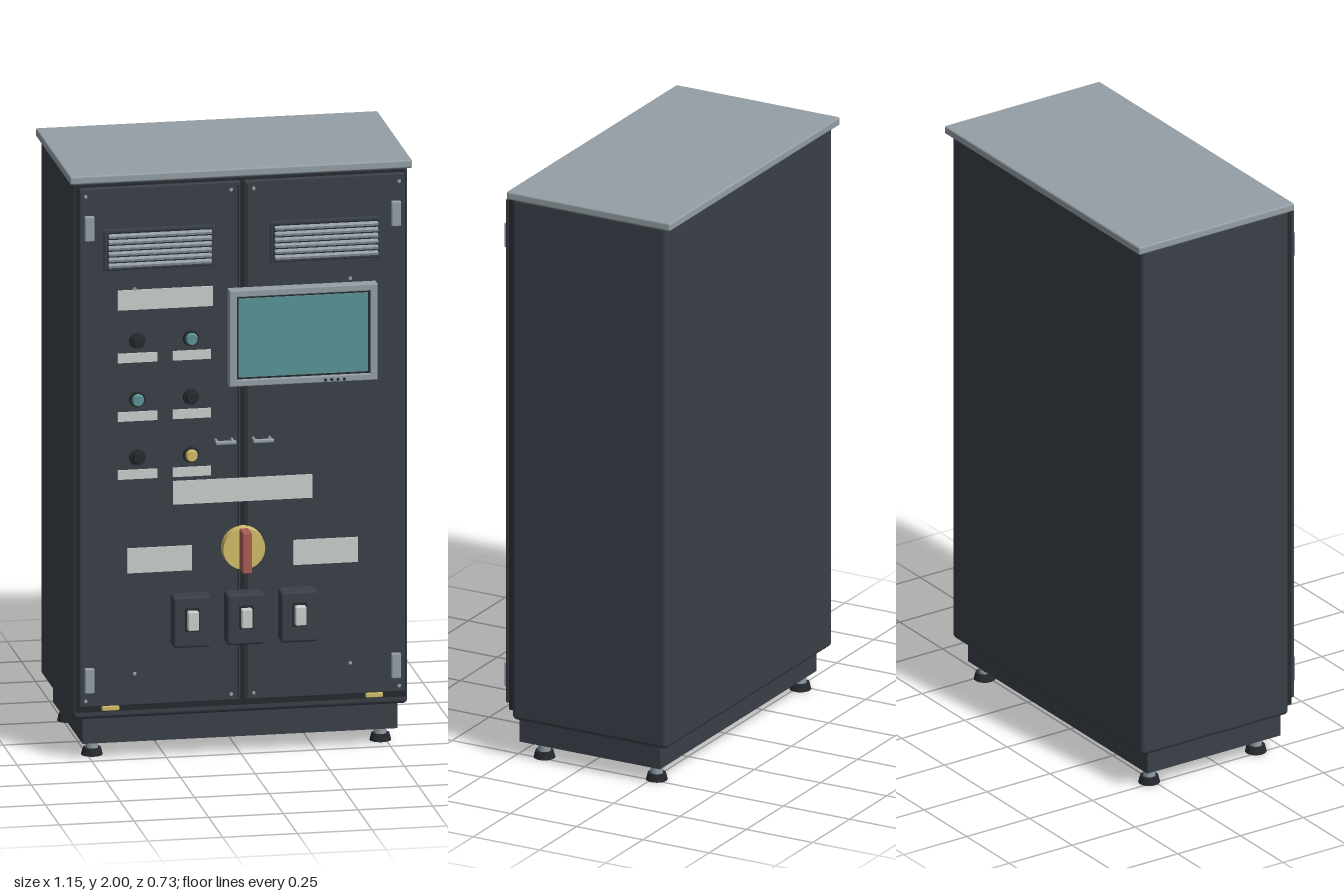
import * as THREE from 'three';
import { RoundedBoxGeometry } from 'three/addons/geometries/RoundedBoxGeometry.js';

const mat = (name, color) => {
  const m = new THREE.MeshStandardMaterial({ color });
  m.name = name;
  return m;
};

export function createModel() {
  const root = new THREE.Group();
  root.name = 'controlCabinet';
  const M = {
    body: mat('charcoalPaint', 0x3a4048),
    dark: mat('blackPlastic', 0x25292e),
    grey: mat('greyMetal', 0x949fa5),
    label: mat('paleLabel', 0xc9d0cd),
    teal: mat('tealGlass', 0x5a9496),
    yellow: mat('yellowPlastic', 0xd2bc6a),
    red: mat('redPlastic', 0xab5c54),
  };
  const FRONT = 0.273; // door face

  const add = (name, geo, m, x, y, z) => {
    const mesh = new THREE.Mesh(geo, m);
    mesh.name = name;
    mesh.position.set(x, y, z);
    root.add(mesh);
    return mesh;
  };
  // box given by its limits, rounded when r > 0
  const box = (name, m, x0, x1, y0, y1, z0, z1, r = 0) => {
    const s = [x1 - x0, y1 - y0, z1 - z0];
    const geo = r ? new RoundedBoxGeometry(...s, 3, r) : new THREE.BoxGeometry(...s);
    return add(name, geo, m, (x0 + x1) / 2, (y0 + y1) / 2, (z0 + z1) / 2);
  };
  // disc or knob facing the front
  const disc = (name, m, x, y, z0, z1, r, rFront = r, seg = 24) => {
    const geo = new THREE.CylinderGeometry(rFront, r, z1 - z0, seg).rotateX(Math.PI / 2);
    return add(name, geo, m, x, y, (z0 + z1) / 2);
  };
  const plate = (x0, x1, y0, y1) => box('labelPlate', M.label, x0, x1, y0, y1, FRONT, FRONT + 0.005);

  // Cabinet shell, lid and plinth
  box('cabinetBody', M.body, -0.56, 0.56, 0.14, 1.978, -0.342, 0.243, 0.016);
  box('lid', M.grey, -0.573, 0.573, 1.972, 2, -0.363, 0.255, 0.006);
  box('plinth', M.body, -0.527, 0.527, 0.055, 0.15, -0.3, 0.23);
  box('doorFrame', M.dark, -0.55, 0.55, 0.17, 1.968, 0.235, 0.258);

  // Levelling feet
  for (const x of [-0.483, 0.483]) for (const z of [0.161, -0.263]) {
    add('footPad', new THREE.CylinderGeometry(0.03, 0.036, 0.024, 24), M.dark, x, 0.012, z);
    add('footStem', new THREE.CylinderGeometry(0.021, 0.021, 0.036, 16), M.grey, x, 0.04, z);
  }

  // Doors with hinges, vents, screws, handles and latches, mirrored
  for (const s of [-1, 1]) {
    const mx = (name, m, a, b, y0, y1, z0, z1, r) =>
      box(name, m, Math.min(s * a, s * b), Math.max(s * a, s * b), y0, y1, z0, z1, r);
    mx('door', M.body, 0.007, 0.545, 0.19, 1.962, 0.25, FRONT, 0.005);
    mx('doorEdgeStrip', M.dark, 0.012, 0.017, 0.2, 1.95, FRONT, FRONT + 0.003);
    for (const y of [1.827, 0.283]) {
      mx('hinge', M.grey, 0.497, 0.53, y - 0.043, y + 0.043, FRONT - 0.003, 0.288, 0.005);
    }
    mx('ventPanel', M.body, 0.092, 0.465, 1.68, 1.82, FRONT - 0.005, 0.281, 0.004);
    mx('ventOpening', M.dark, 0.103, 0.454, 1.69, 1.81, 0.28, 0.283);
    for (let i = 0; i < 6; i++) {
      const slat = mx('ventSlat', M.grey, 0.106, 0.451, -0.004, 0.004, 0.28, 0.298);
      slat.position.y = 1.7 + i * 0.02;
      slat.rotation.x = 0.3;
    }
    for (const [x, y] of [[0.038, 1.935], [0.525, 1.935], [0.038, 0.212], [0.525, 0.212], [0.361, 0.298], [0.361, 1.612]]) {
      disc('screw', M.grey, s * x, y, FRONT - 0.002, FRONT + 0.005, 0.007, 0.005, 12);
    }
    // Pull handle: bar on two posts
    mx('handleBar', M.grey, 0.028, 0.098, 1.077, 1.09, 0.31, 0.322, 0.004);
    for (const x of [0.036, 0.09]) disc('handlePost', M.grey, s * x, 1.083, FRONT - 0.002, 0.315, 0.005, 0.005, 12);
    mx('bottomLatch', M.yellow, 0.413, 0.47, 0.177, 0.193, 0.25, 0.279, 0.003);
    // Large lower labels
    plate(s < 0 ? -0.386 : 0.17, s < 0 ? -0.17 : 0.386, 0.643, 0.728);
  }

  // Labels
  plate(-0.418, -0.1, 1.542, 1.61);
  plate(-0.233, 0.233, 0.87, 0.95);

  // Push buttons and lamps, each over a small label
  const rows = [[1.435, M.dark, M.teal], [1.235, M.teal, M.dark], [1.037, M.dark, M.yellow]];
  for (const [y, left, right] of rows) {
    for (const [x, m] of [[-0.352, left], [-0.172, right]]) {
      disc('buttonCollar', M.dark, x, y, FRONT - 0.002, 0.283, 0.028, 0.025);
      disc('buttonCap', m, x, y, 0.282, 0.298, 0.021, 0.017);
    }
    plate(-0.418, -0.286, y - 0.073, y - 0.041);
    plate(-0.234, -0.106, y - 0.073, y - 0.041);
  }

  // Touch screen: bezel with an opening, dark border and glass
  const rect = (P, x0, x1, y0, y1) => {
    const p = new P();
    p.moveTo(x0, y0); p.lineTo(x1, y0); p.lineTo(x1, y1); p.lineTo(x0, y1); p.closePath();
    return p;
  };
  const bezel = rect(THREE.Shape, -0.047, 0.442, 1.275, 1.597);
  bezel.holes.push(rect(THREE.Path, -0.029, 0.425, 1.291, 1.58));
  add('screenBezel', new THREE.ExtrudeGeometry(bezel, {
    depth: 0.037, bevelThickness: 0.003, bevelSize: 0.003, bevelSegments: 2,
  }), M.grey, 0, 0, FRONT + 0.002);
  box('screenBorder', M.dark, -0.03, 0.426, 1.29, 1.581, FRONT, 0.303);
  box('screenGlass', M.teal, -0.019, 0.415, 1.301, 1.57, 0.303, 0.307);
  for (let i = 0; i < 4; i++) disc('screenKey', M.dark, 0.27 + i * 0.021, 1.281, 0.31, 0.319, 0.005, 0.005, 10);

  // Main rotary switch
  disc('switchDisc', M.yellow, 0, 0.715, FRONT - 0.002, 0.308, 0.072, 0.07, 40);
  box('switchGrip', M.red, -0.016, 0.016, 0.645, 0.785, 0.3, 0.365, 0.005);

  // Breaker housings with toggles
  for (const x of [-0.18, 0, 0.18]) {
    box('breakerHousing', M.body, x - 0.062, x + 0.062, 0.395, 0.568, FRONT - 0.005, 0.338, 0.009);
    box('breakerRecess', M.dark, x - 0.024, x + 0.024, 0.45, 0.53, 0.336, 0.34);
    box('breakerToggle', M.label, x - 0.018, x + 0.018, 0.458, 0.523, 0.335, 0.363, 0.004);
  }
  return root;
}
